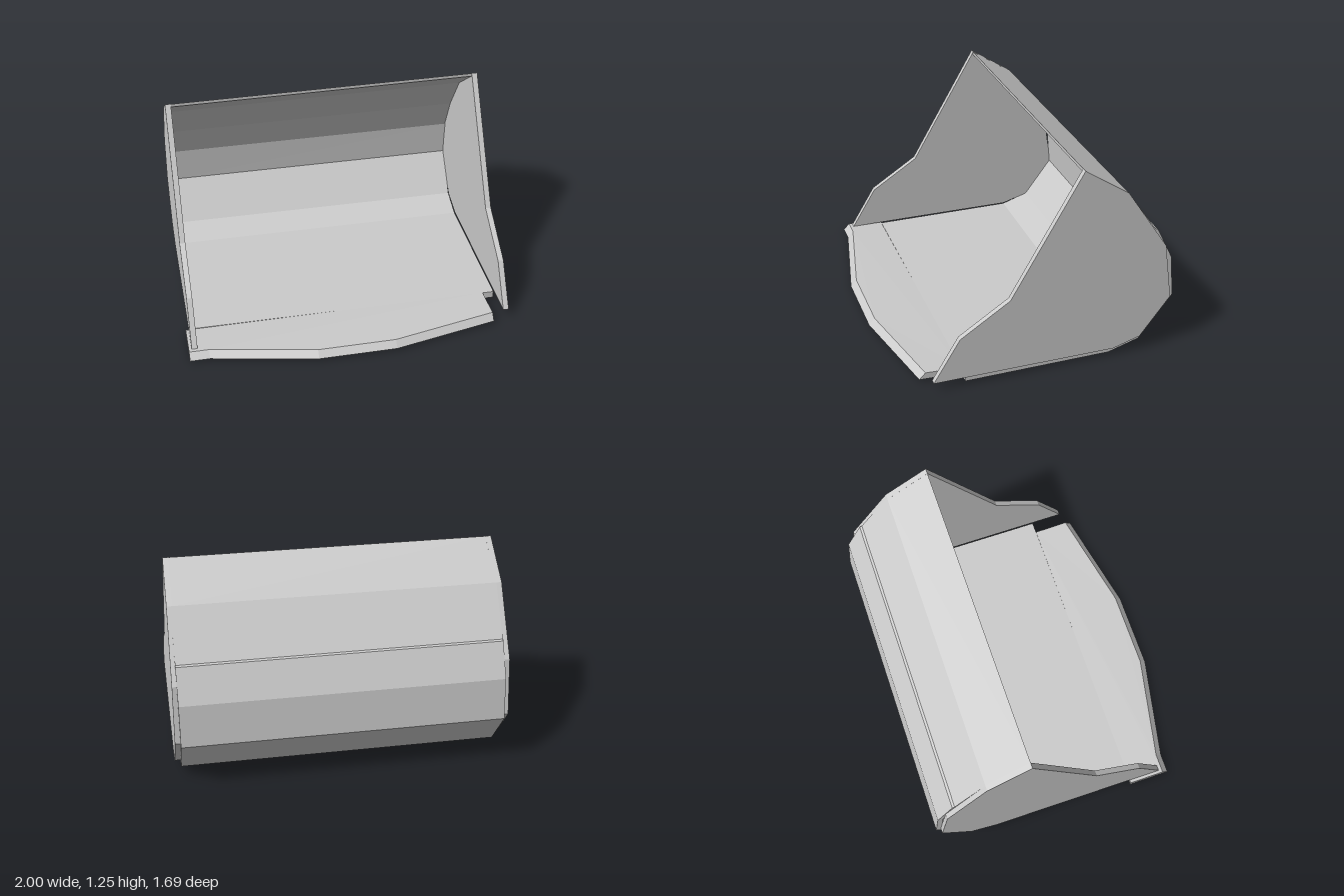
import * as THREE from 'three';

const material = new THREE.MeshStandardMaterial({ color: 0xcccccc, flatShading: true, side: THREE.DoubleSide });

// Extrude a (z, y) outline across x, from x0 to x1
function extrudeAcross(outline, x0, x1) {
  const shape = new THREE.Shape(outline.map(([z, y]) => new THREE.Vector2(z, y)));
  const geometry = new THREE.ExtrudeGeometry(shape, { depth: x1 - x0, bevelEnabled: false });
  geometry.rotateY(-Math.PI / 2);
  geometry.translate(x1, 0, 0);
  return geometry;
}

// Move every vertex of a geometry by a rule
function warp(geometry, rule) {
  const p = geometry.attributes.position;
  const v = new THREE.Vector3();
  for (let i = 0; i < p.count; i++) {
    rule(v.fromBufferAttribute(p, i));
    p.setXYZ(i, v.x, v.y, v.z);
  }
  geometry.computeVertexNormals();
  return geometry;
}

export function createModel() {
  const group = new THREE.Group();
  const add = (name, geometry) => {
    const mesh = new THREE.Mesh(geometry, material);
    mesh.name = name;
    group.add(mesh);
  };
  // The rim rises slightly towards +x
  const skew = (v) => { v.y += 0.005 * v.x * v.y; v.z -= 0.004 * v.x * v.y; };

  // Bent shell: floor, back and roof, with a small plate overlap on the back
  const outer = [[0.45, 0], [-0.45, 0.003], [-0.64, 0.06], [-0.845, 0.33], [-0.82, 0.59],
    [-0.72, 0.79], [-0.705, 0.795], [-0.51, 1.07], [-0.24, 1.247]];
  const inner = [[-0.24, 1.227], [-0.495, 1.047], [-0.68, 0.79], [-0.79, 0.57], [-0.81, 0.34],
    [-0.63, 0.1], [-0.46, 0.045], [0.45, 0.045]];
  add('shell', warp(extrudeAcross([...outer, ...inner], -0.95, 0.963), skew));

  // Side plates, seated on the floor; the left one leans in towards the top
  const side = [[0.65, 0.053], [-0.46, 0.05], [-0.63, 0.1], [-0.815, 0.34], [-0.765, 0.69],
    [-0.51, 1.07], [-0.24, 1.248], [0.19, 0.51], [0.49, 0.315]];
  add('rightSidePlate', warp(extrudeAcross(side, -0.982, -0.947), skew));
  add('leftSidePlate', warp(extrudeAcross(side, 0.965, 1.0), (v) => {
    skew(v);
    v.x -= 0.014 * (v.y - 0.05);
  }));

  // Cutting lip: a flat blade with a bevelled, angled front edge
  const edge = [[-1, 0.71], [-0.88, 0.71], [-0.24, 0.84], [0.24, 0.84], [0.89, 0.705]];
  const blade = new THREE.Shape([[0.89, 0.45], [-1, 0.45], ...edge]
    .map(([x, z]) => new THREE.Vector2(x, -z)));
  const lip = new THREE.ExtrudeGeometry(blade, { depth: 0.04, bevelEnabled: false });
  lip.rotateX(-Math.PI / 2);
  add('cuttingLip', warp(lip, (v) => {
    const front = v.z > 0.5;
    if (front && v.y > 0.02) v.z -= 0.038;
    v.y += 0.005 + (front ? 0.01 : 0) + 0.004 * v.x;
  }));

  return group;
}
